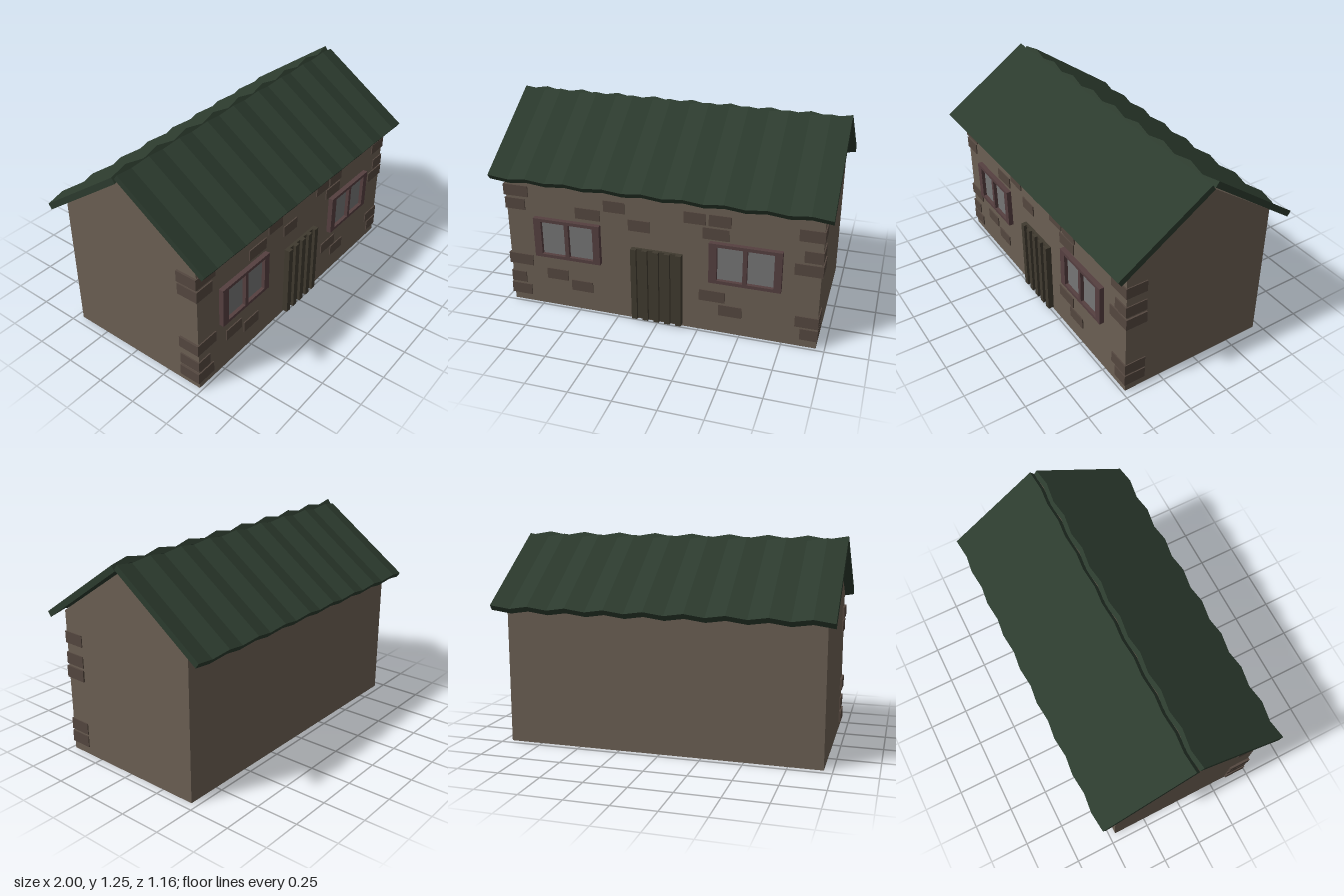
import * as THREE from 'three';

const mat = (color) => new THREE.MeshStandardMaterial({ color, flatShading: true });
const wallMat = mat(0x6b5f53), brickMat = mat(0x54473f), roofMat = mat(0x2c3b2e);
const frameMat = mat(0x553f40), glassMat = mat(0x757575), doorMat = mat(0x403a2f);

function add(parent, name, geometry, material) {
  const mesh = new THREE.Mesh(geometry, material);
  mesh.name = name;
  parent.add(mesh);
  return mesh;
}

// Box given by its limits on each axis
function block(parent, name, material, x0, x1, y0, y1, z0, z1) {
  const geometry = new THREE.BoxGeometry(x1 - x0, y1 - y0, z1 - z0);
  geometry.translate((x0 + x1) / 2, (y0 + y1) / 2, (z0 + z1) / 2);
  return add(parent, name, geometry, material);
}

function rectPath(path, x0, x1, y0, y1) {
  path.moveTo(x0, y0);
  path.lineTo(x1, y0);
  path.lineTo(x1, y1);
  path.lineTo(x0, y1);
  path.closePath();
  return path;
}

// Corrugated slab: zigzag section across x, extruded down the slope
function roofSlab(length) {
  const segments = 17, wave = 0.023, thick = 0.037;
  const at = (i, base) => new THREE.Vector2(-1 + (2 * i) / segments, base + (i % 2 ? 0 : wave));
  const points = [];
  for (let i = 0; i <= segments; i++) points.push(at(i, 0));
  for (let i = segments; i >= 0; i--) points.push(at(i, thick));
  return new THREE.ExtrudeGeometry(new THREE.Shape(points), { depth: length, bevelEnabled: false });
}

function makeWindow(x) {
  const group = new THREE.Group();
  group.name = 'window';
  const shape = rectPath(new THREE.Shape(), -0.21, 0.21, 0.345, 0.6);
  for (const [a, b] of [[-0.163, -0.012], [0.013, 0.167]]) {
    shape.holes.push(rectPath(new THREE.Path(), a, b, 0.365, 0.58));
    block(group, 'windowPane', glassMat, a, b, 0.365, 0.58, 0.47, 0.488);
  }
  const frame = new THREE.ExtrudeGeometry(shape, { depth: 0.04, bevelEnabled: false });
  add(group, 'windowFrame', frame.translate(0, 0, 0.47), frameMat);
  group.position.x = x;
  return group;
}

export function createModel() {
  const house = new THREE.Group();
  house.name = 'house';

  // Gabled body, profile in (z, y) extruded along x
  const gable = new THREE.Shape([
    [-0.48, 0], [0.46, 0], [0.46, 0.88], [0.005, 1.195], [-0.48, 0.875],
  ].map(([a, b]) => new THREE.Vector2(a, b)));
  const body = new THREE.ExtrudeGeometry(gable, { depth: 1.9, bevelEnabled: false });
  body.translate(0, 0, -0.95).rotateY(Math.PI / 2);
  add(house, 'walls', body, wallMat);

  // Roof halves, the back one turned half a circle
  const front = add(house, 'frontRoof', roofSlab(0.672), roofMat);
  front.position.set(0, 1.205, -0.01);
  front.rotation.x = 0.59;
  const backHalf = new THREE.Group();
  backHalf.name = 'backRoofHalf';
  backHalf.rotation.y = Math.PI;
  house.add(backHalf);
  const back = add(backHalf, 'backRoof', roofSlab(0.672), roofMat);
  back.position.set(0, 1.196, -0.005);
  back.rotation.x = 0.621;

  // Corner stones wrapping onto the side walls: inner x, outer x, bottom y
  const corners = [
    [-0.805, -0.963, 0.72], [-0.83, -0.958, 0.633], [-0.805, -0.963, 0.257],
    [-0.86, -0.958, 0.13], [-0.83, -0.963, 0.045],
    [0.815, 0.956, 0.68], [0.85, 0.956, 0.552], [0.8, 0.96, 0.468],
    [0.82, 0.956, 0.13], [0.852, 0.956, 0.048],
  ];
  for (const [a, b, y] of corners) {
    block(house, 'cornerStone', brickMat, Math.min(a, b), Math.max(a, b), y, y + 0.07, 0.352, 0.487);
  }

  // Loose bricks on the front wall: left x, width, bottom y
  const bricks = [
    [-0.505, 0.155, 0.625], [-0.325, 0.13, 0.695], [-0.175, 0.13, 0.595],
    [0.16, 0.13, 0.695], [0.307, 0.13, 0.695], [0.273, 0.153, 0.612],
    [-0.713, 0.138, 0.186], [-0.553, 0.138, 0.128], [0.254, 0.155, 0.205],
    [0.372, 0.138, 0.12],
  ];
  for (const [x, w, y] of bricks) {
    block(house, 'wallBrick', brickMat, x, x + w, y, y + 0.07, 0.46, 0.487);
  }

  house.add(makeWindow(-0.56), makeWindow(0.525));

  // Door of planks set alternately forward and back
  const planks = 9, width = 0.308 / planks;
  for (let i = 0; i < planks; i++) {
    const x = -0.156 + i * width;
    block(house, 'doorPlank', doorMat, x, x + width, 0.015, 0.487, 0.46, i % 2 ? 0.497 : 0.516);
  }
  return house;
}
